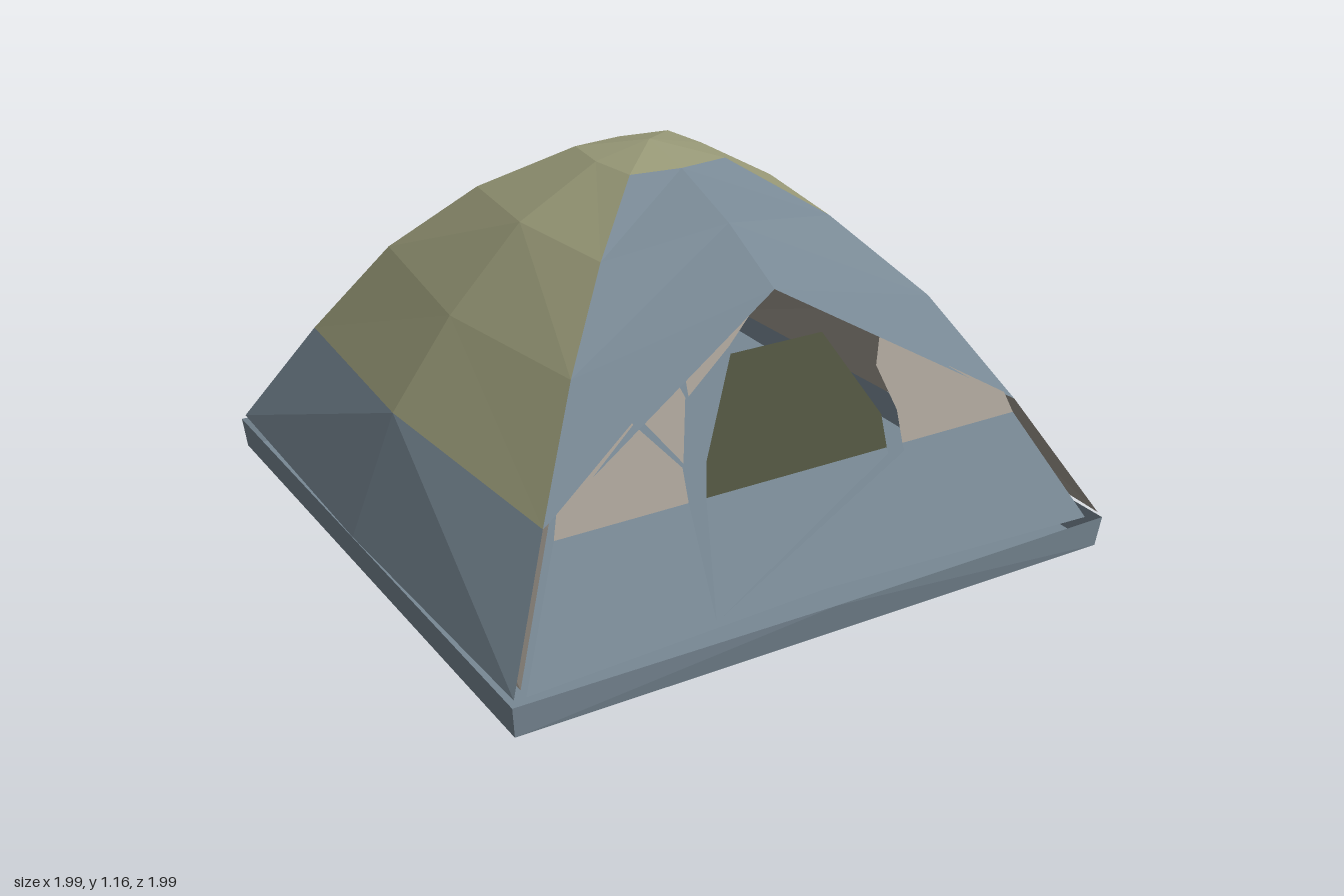
import * as THREE from 'three';

const mat = (name, color) => new THREE.MeshStandardMaterial({ name, color, flatShading: true, side: THREE.DoubleSide });

// Fly rings from top to hem: corner half-width, corner height, mid reach, mid height
const RINGS = [
  [0, 1.18, 0, 1.18],
  [0.16, 1.14, 0.18, 1.14],
  [0.38, 0.99, 0.43, 1.0],
  [0.59, 0.77, 0.66, 0.76],
  [0.78, 0.47, 0.85, 0.5],
  [0.97, 0.13, 0.995, 0.14],
];
// Awning ridge replaces the mid points on the front
const AWNING = [[0, 1.18], [0.18, 1.14], [0.43, 1.05], [0.66, 0.93], [0.66, 0.93]];

// Left corner, middle and right corner of one ring on side k (0 front, 1 left, 2 back, 3 right)
function row(i, k, scale = 1, yScale = 1, awning = false) {
  const [c, cy, m, my] = RINGS[i];
  const [mz, mh] = awning ? AWNING[i] : [m, my];
  return [[-c, cy, c], [0, mh, mz], [c, cy, c]].map(([x, y, z]) =>
    new THREE.Vector3(x * scale, y * yScale, z * scale).applyAxisAngle(new THREE.Vector3(0, 1, 0), k * Math.PI / 2));
}

// Facets between an upper and a lower row of three points
function strip(U, L) {
  return [L[0], L[1], U[1], L[0], U[1], U[0], L[1], L[2], U[1], L[2], U[2], U[1]];
}

function geometry(points) {
  const g = new THREE.BufferGeometry().setFromPoints(points);
  g.computeVertexNormals();
  return g;
}

// Reversed copy of the facets, for the lining
function reversed(points) {
  const out = [];
  for (let i = 0; i < points.length; i += 3) out.push(points[i], points[i + 2], points[i + 1]);
  return out;
}

// Depth of the sloping door wall at a given height
const wallZ = (y) => (y < 0.44 ? 0.8 + (0.44 - y) * 0.5 : 0.8 - (y - 0.44) * 0.36);

function wallPanel(outline) {
  const g = new THREE.ShapeGeometry(new THREE.Shape(outline.map(([x, y]) => new THREE.Vector2(x, y))));
  const p = g.attributes.position;
  for (let i = 0; i < p.count; i++) p.setZ(i, wallZ(p.getY(i)));
  g.computeVertexNormals();
  return g;
}

export function createModel() {
  const root = new THREE.Group();
  root.name = 'tent';
  const blue = mat('blueGreyFabric', 0x788894);
  const olive = mat('oliveFabric', 0x999a78);
  const beige = mat('beigeMesh', 0xa59e94);
  const window = mat('darkOlivePanel', 0x4e523e);
  const flyBlue = mat('flyBlueGrey', 0x788894);
  const flyOlive = mat('flyOlive', 0x999a78);
  const lining = mat('beigeLining', 0xa59e94);
  for (const m of [flyBlue, flyOlive, lining]) m.side = THREE.FrontSide;

  const add = (name, geo, material) => {
    const mesh = new THREE.Mesh(geo, material);
    mesh.name = name;
    root.add(mesh);
  };

  // Fly sheet: olive cap and flanks, blue-grey front awning, back and lower skirts
  const bluePts = [];
  const olivePts = [];
  for (let k = 0; k < 4; k++) {
    const front = k === 0;
    for (let i = 0; i < (front ? 4 : 5); i++) {
      const isOlive = i === 0 || (k % 2 === 1 && i < 4);
      const facets = strip(row(i, k, 1, 1, front), row(i + 1, k, 1, 1, front));
      (isOlive ? olivePts : bluePts).push(...facets);
    }
  }
  add('flySheet', geometry(bluePts), flyBlue);
  add('flyRoofAndFlanks', geometry(olivePts), flyOlive);
  add('flyLining', geometry(reversed([...bluePts, ...olivePts])), lining);

  // Inner tent shell, open at the front
  const inner = [];
  for (let k = 0; k < 4; k++) {
    for (let i = 0; i < (k === 0 ? 2 : 5); i++) {
      inner.push(...strip(row(i, k, 0.96, 0.96), row(i + 1, k, 0.96, 0.96)));
    }
  }
  add('innerTent', geometry(inner), beige);

  // Groundsheet tub: flat floor with a low rim bulging in the middle of each side
  const tub = [];
  const Y = new THREE.Vector3(0, 1, 0);
  for (let k = 0; k < 4; k++) {
    const mid = k === 0 ? 0.99 : 0.98;
    const side = (c, m, y) => [[-c, y, c], [0, y, m], [c, y, c]].map((p) => new THREE.Vector3(...p).applyAxisAngle(Y, k * Math.PI / 2));
    tub.push(...strip(side(0.98, mid, 0.115), side(0.97, 0.97, 0.02)));
  }
  add('tubRim', geometry(tub), blue);
  const floor = new THREE.PlaneGeometry(1.94, 1.94).rotateX(Math.PI / 2).translate(0, 0.02, 0);
  add('floor', floor, blue);

  // Lower front wall with a slit around the door
  add('frontWall', wallPanel([[-0.93, 0.12], [0, 0.148], [0.93, 0.12], [0.76, 0.44], [0.355, 0.44],
    [0.355, 0.42], [-0.355, 0.15], [-0.355, 0.44], [-0.76, 0.44]]), blue);
  add('doorLower', wallPanel([[-0.355, 0.15], [0.3, 0.425], [0.3, 0.44], [-0.3, 0.44]]), blue);

  // Door window
  add('doorWindow', wallPanel([[-0.3, 0.44], [0.3, 0.44], [0.3, 0.53], [0.15, 0.78], [-0.15, 0.78], [-0.28, 0.53]]), window);

  // Mesh panels beside and above the door
  add('meshRight', wallPanel([[-0.76, 0.44], [-0.355, 0.44], [-0.355, 0.53], [-0.48, 0.67], [-0.74, 0.5]]), beige);
  add('meshLeft', wallPanel([[0.355, 0.44], [0.76, 0.44], [0.74, 0.5], [0.34, 0.74], [0.31, 0.66], [0.355, 0.53]]), beige);
  add('meshGusset', wallPanel([[-0.35, 0.54], [-0.31, 0.7], [-0.33, 0.75], [-0.45, 0.67]]), beige);
  add('meshTop', wallPanel([[-0.3, 0.7], [-0.15, 0.8], [-0.04, 0.89], [-0.06, 0.9], [-0.3, 0.76]]), beige);
  return root;
}
